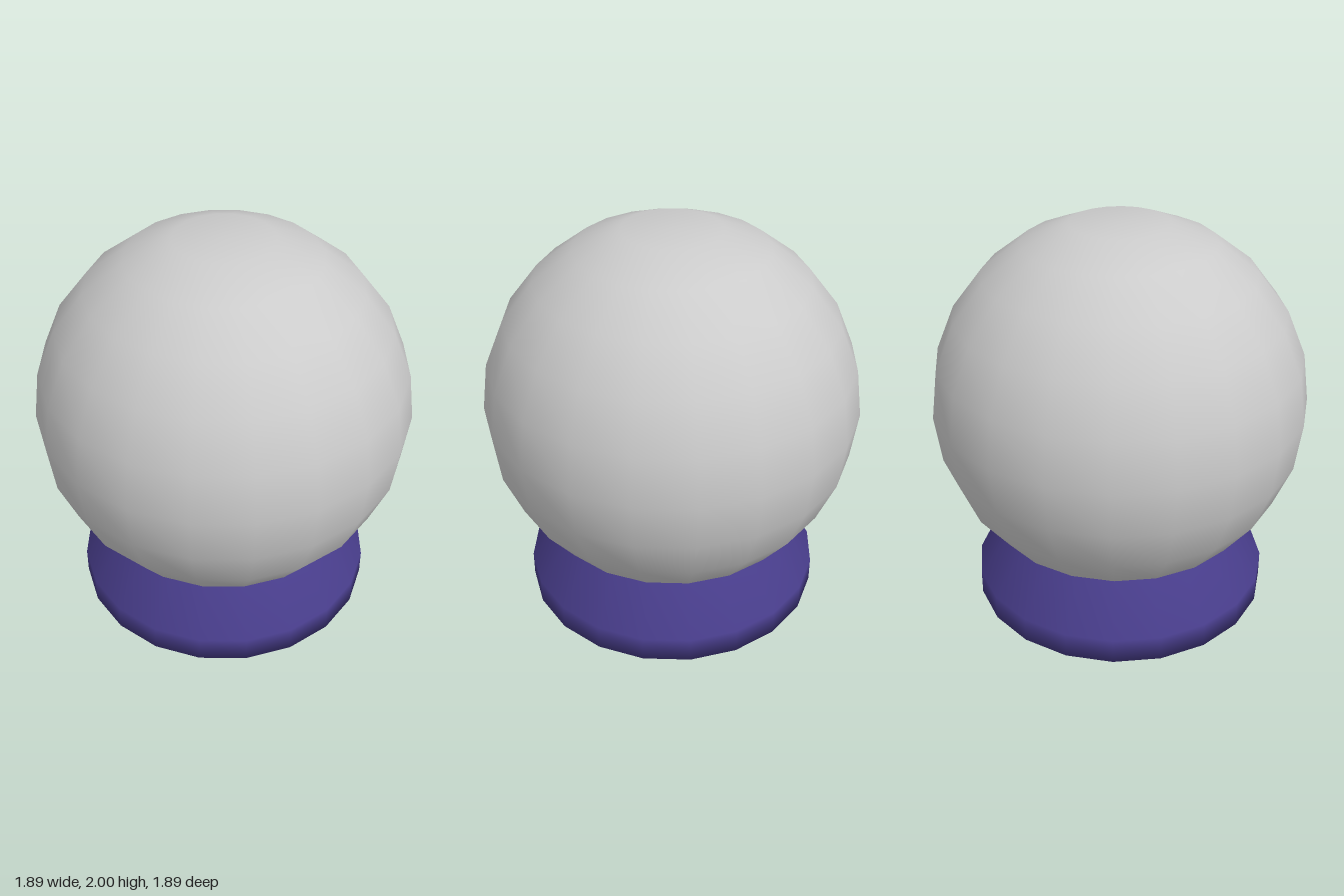
import * as THREE from 'three';

const SIDES = 20;

// Smoothly shaded turned part from [radius, height] pairs, listed bottom to top
function turned(name, profile, color) {
  const points = profile.map(([r, y]) => new THREE.Vector2(r, y));
  const material = new THREE.MeshStandardMaterial({ color });
  const mesh = new THREE.Mesh(new THREE.LatheGeometry(points, SIDES), material);
  mesh.name = name;
  return mesh;
}

export function createModel() {
  const group = new THREE.Group();
  group.name = 'crystalBall';

  // Globe: rings every 15 degrees, slightly flattened at both poles
  const radius = 0.945, centre = 1.09, flat = 0.91;
  const globe = [];
  for (let i = 0; i <= 12; i++) {
    const a = THREE.MathUtils.degToRad(-90 + i * 15);
    const y = THREE.MathUtils.clamp(radius * Math.sin(a), -flat, flat);
    const r = i % 12 === 0 ? 0 : radius * Math.cos(a);
    globe.push([r, centre + y]);
  }
  group.add(turned('globe', globe, 0xcccccc));

  // Stand: closed underside, short upright rim, taper running into the globe
  const stand = [[0, 0], [0.765, 0], [0.765, 0.13], [0.56, 0.4]];
  group.add(turned('stand', stand, 0x483d8b));

  return group;
}
